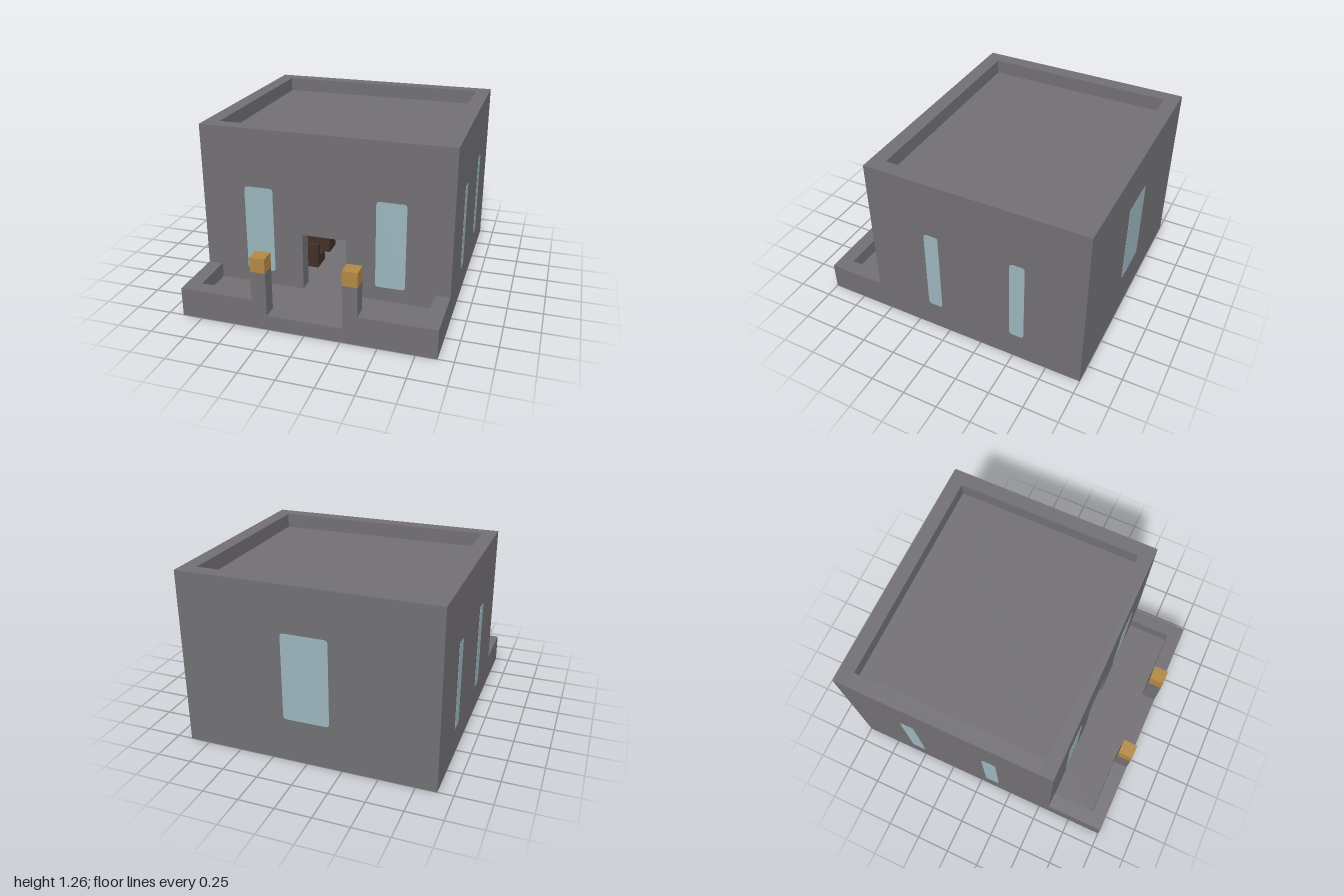
import * as THREE from 'three';

const mat = (name, color) => {
  const m = new THREE.MeshStandardMaterial({ color });
  m.name = name;
  return m;
};

export function createModel() {
  const stone = mat('grey stone', 0x716f72);
  const glass = mat('pale blue glass', 0x9bb4bc);
  const gold = mat('lantern gold', 0xb18844);
  const wood = mat('dark brown wood', 0x422e25);
  const model = new THREE.Group();
  model.name = 'building';

  // Box given by its two extreme corners
  function box(name, material, x0, x1, y0, y1, z0, z1) {
    const mesh = new THREE.Mesh(new THREE.BoxGeometry(x1 - x0, y1 - y0, z1 - z0), material);
    mesh.position.set((x0 + x1) / 2, (y0 + y1) / 2, (z0 + z1) / 2);
    mesh.name = name;
    model.add(mesh);
  }

  // Rounded pane through a wall, showing flush on both faces
  function pane(name, width, y0, y1, x, z, turn = 0) {
    const w = width / 2, h = (y1 - y0) / 2, r = 0.025, depth = 0.109;
    const s = new THREE.Shape();
    s.moveTo(-w + r, -h);
    s.lineTo(w - r, -h);
    s.quadraticCurveTo(w, -h, w, -h + r);
    s.lineTo(w, h - r);
    s.quadraticCurveTo(w, h, w - r, h);
    s.lineTo(-w + r, h);
    s.quadraticCurveTo(-w, h, -w, h - r);
    s.lineTo(-w, -h + r);
    s.quadraticCurveTo(-w, -h, -w + r, -h);
    const g = new THREE.ExtrudeGeometry(s, { depth, bevelEnabled: false, curveSegments: 5 });
    g.translate(0, 0, -depth / 2);
    const mesh = new THREE.Mesh(g, glass);
    mesh.name = name;
    mesh.position.set(x, (y0 + y1) / 2, z);
    mesh.rotation.y = turn;
    model.add(mesh);
  }

  const W = 0.893, IN = 0.788, H = 1.262, FLOOR = 0.105, LOW = 0.21;

  // Base slab, walls that rise into the parapet, and sunken roof
  box('baseSlab', stone, -W, W, 0, FLOOR, -1, 1);
  box('backWall', stone, -W, W, FLOOR, H, -1, -0.895);
  box('roof', stone, -IN, IN, 1.05, 1.157, -0.895, 0.475);

  // Front wall with doorway
  const front = new THREE.Shape();
  [[-W, FLOOR], [-0.158, FLOOR], [-0.158, 0.526], [0.158, 0.526], [0.158, FLOOR], [W, FLOOR], [W, H], [-W, H]]
    .forEach(([x, y], i) => (i ? front.lineTo(x, y) : front.moveTo(x, y)));
  const frontWall = new THREE.Mesh(
    new THREE.ExtrudeGeometry(front, { depth: 0.105, bevelEnabled: false }), stone);
  frontWall.position.z = 0.474;
  frontWall.name = 'frontWall';
  model.add(frontWall);

  for (const s of [-1, 1]) {
    const side = s < 0 ? 'right' : 'left';
    const sideBox = (name, material, a, b, ...rest) =>
      box(side + name, material, Math.min(s * a, s * b), Math.max(s * a, s * b), ...rest);

    sideBox('Wall', stone, IN, W, FLOOR, H, -0.895, 0.474);

    // Low terrace wall and gate post with lantern
    sideBox('TerraceWall', stone, IN, W, FLOOR, LOW, 0.579, 1);
    sideBox('TerraceFrontWall', stone, 0.368, IN, FLOOR, LOW, 0.895, 1);
    sideBox('GatePost', stone, 0.263, 0.368, FLOOR, 0.421, 0.895, 1);
    sideBox('Lantern', gold, 0.263, 0.368, 0.421, 0.526, 0.895, 1);

    // Windows
    pane(side + 'FrontWindow', 0.21, LOW, 0.842, s * 0.474, 0.5265);
    for (const z of [0.105, -0.526])
      pane(side + 'SideWindow', 0.107, LOW, 0.847, s * (IN + W) / 2, z, Math.PI / 2);

    // Benches either side of the aisle
    for (let i = 0; i < 4; i++) {
      const z = 0.21 - i * 0.27;
      sideBox('BenchSeat', wood, 0.163, 0.68, FLOOR, 0.19, z - 0.11, z);
      sideBox('BenchBack', wood, 0.163, 0.68, FLOOR, 0.29, z, z + 0.04);
    }
  }

  pane('backWindow', 0.325, 0.316, 0.935, 0, -0.9475);

  // Block at the end of the aisle
  box('aisleBlock', wood, -0.053, 0.053, FLOOR, LOW, -0.79, -0.685);

  return model;
}
